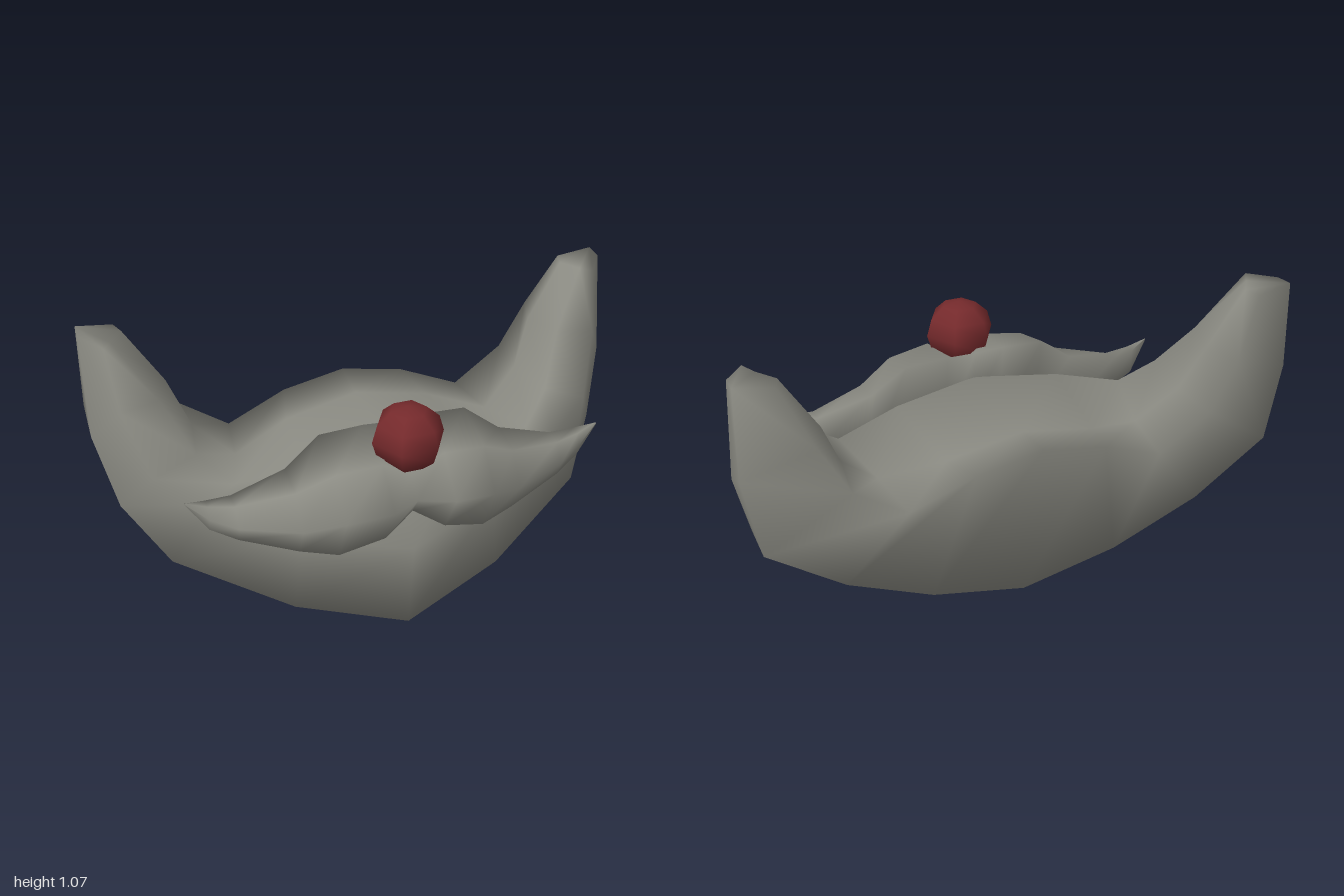
import * as THREE from 'three';

// Skin cross-sections given for the +x half (from the middle outwards), mirrored to -x.
// Each ring runs from lower back, under to the front, over the top and back again.
function loftMirrored(half) {
  const mirrored = half.slice(1).reverse().map(r => r.map(([x, y, z]) => [-x, y, z]));
  const rings = [...mirrored, ...half];
  const n = half[0].length;
  const idx = [];
  for (let i = 0; i < rings.length - 1; i++) {
    for (let j = 0; j < n; j++) {
      const a = i * n + j, b = i * n + (j + 1) % n;
      idx.push(a, a + n, b + n, a, b + n, b);
    }
  }
  // Close both ends
  const last = (rings.length - 1) * n;
  for (let k = 1; k < n - 1; k++) {
    idx.push(0, k, k + 1);
    idx.push(last, last + k + 1, last + k);
  }
  const g = new THREE.BufferGeometry();
  g.setAttribute('position', new THREE.Float32BufferAttribute(rings.flat(2), 3));
  g.setIndex(idx);
  g.computeVertexNormals();
  return g;
}

export function createModel() {
  const hair = new THREE.MeshStandardMaterial({ name: 'hairGrey', color: 0x8a8a82 });
  const red = new THREE.MeshStandardMaterial({ name: 'noseRed', color: 0x752a2c });
  const group = new THREE.Group();
  const add = (name, geometry, material) => {
    const m = new THREE.Mesh(geometry, material);
    m.name = name;
    group.add(m);
    return m;
  };

  // Beard: keel in the middle, sweeping out and up into the sideburns
  // lower back, lower front, front, top front, top back, back rim
  const beard = [
    [[0, 0.01, -0.32], [0, 0, 0.305], [0, 0.37, 0.35], [0, 0.665, 0.14], [0, 0.655, -0.29], [0, 0.67, -0.455]],
    [[0.36, 0.1, -0.338], [0.4, 0.09, 0.19], [0.37, 0.4, 0.2], [0.32, 0.63, 0.1], [0.28, 0.6, -0.28], [0.24, 0.625, -0.45]],
    [[0.68, 0.26, -0.368], [0.8, 0.265, 0], [0.66, 0.53, 0.07], [0.56, 0.58, 0.045], [0.5, 0.54, -0.2], [0.47, 0.53, -0.43]],
    [[0.95, 0.46, -0.38], [0.94, 0.43, -0.17], [0.83, 0.62, -0.02], [0.67, 0.68, -0.035], [0.64, 0.67, -0.25], [0.66, 0.66, -0.44]],
    [[1, 0.75, -0.378], [1, 0.69, -0.25], [0.9, 0.84, -0.125], [0.76, 0.85, -0.15], [0.71, 0.84, -0.3], [0.76, 0.84, -0.435]],
    [[0.99, 1.07, -0.37], [0.99, 1.065, -0.3], [0.92, 1.055, -0.2], [0.89, 1.05, -0.25], [0.84, 1.05, -0.32], [0.86, 1.05, -0.38]],
  ];
  add('beard', loftMirrored(beard), hair);

  // Moustache: two lobes meeting in a notch and tapering to pointed ends
  // x, then y and z of lower back, lower front, front, top front, top back
  const moustache = [
    [0, [0.52, 0.15], [0.525, 0.33], [0.6, 0.38], [0.67, 0.31], [0.77, 0.125]],
    [0.11, [0.455, 0.155], [0.455, 0.36], [0.62, 0.455], [0.74, 0.33], [0.775, 0.12]],
    [0.27, [0.402, 0.21], [0.4, 0.33], [0.59, 0.42], [0.72, 0.31], [0.768, 0.12]],
    [0.4, [0.425, 0.155], [0.42, 0.29], [0.54, 0.35], [0.65, 0.27], [0.67, 0.14]],
    [0.6, [0.485, 0.165], [0.485, 0.24], [0.55, 0.27], [0.61, 0.22], [0.615, 0.155]],
    [0.69, [0.53, 0.175], [0.53, 0.21], [0.58, 0.225], [0.625, 0.21], [0.625, 0.17]],
    [0.765, [0.645, 0.2], [0.645, 0.202], [0.648, 0.203], [0.65, 0.202], [0.65, 0.2]],
  ].map(([x, ...ring]) => ring.map(([y, z]) => [x, y, z]));
  add('moustache', loftMirrored(moustache), hair);

  // Nose: six-sided ball
  add('nose', new THREE.SphereGeometry(0.13, 6, 6).scale(1, 0.93, 1), red).position.set(0, 0.798, 0.275);

  return group;
}
